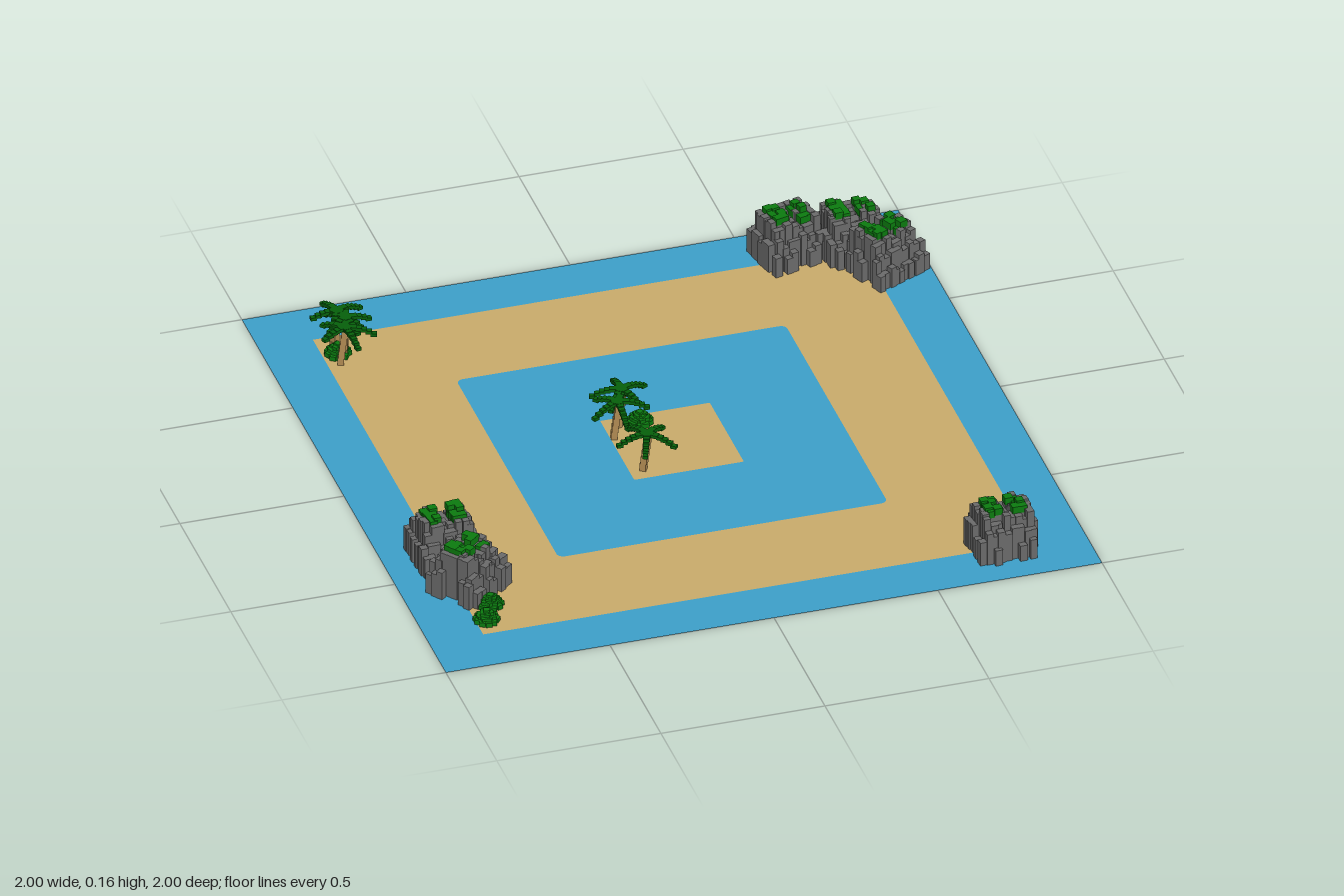
import * as THREE from 'three';
import { mergeGeometries } from 'three/addons/utils/BufferGeometryUtils.js';

const mat = (name, color, side = THREE.FrontSide) => {
  const m = new THREE.MeshStandardMaterial({ color, side });
  m.name = name;
  return m;
};
const water = mat('water', 0x3c9fc8, THREE.DoubleSide);
const sand = mat('sand', 0xc8aa6a, THREE.DoubleSide);
const stone = mat('stone', 0x6a6a6a);
const moss = mat('moss', 0x0b7a0f);
const leaf = mat('palm leaf', 0x06600a);
const wood = mat('palm wood', 0xb08a52);

// small seeded random generator
function seeded(seed) {
  let s = seed * 7919 + 17;
  return () => (s = (s * 16807) % 2147483647) / 2147483647;
}

const block = (w, h, d, x, y, z) => new THREE.BoxGeometry(w, h, d).translate(x, y, z);

function addMesh(parent, name, geometry, material) {
  const m = new THREE.Mesh(geometry, material);
  m.name = name;
  parent.add(m);
  return m;
}

// square outline with optional rounded corners
function square(h, r, target) {
  target.moveTo(-h + r, -h);
  for (const [cx, cy, a] of [[1, -1, -0.5], [1, 1, 0], [-1, 1, 0.5], [-1, -1, 1]]) {
    target.absarc(cx * (h - r), cy * (h - r), r, a * Math.PI, (a + 0.5) * Math.PI, false);
  }
  target.closePath();
  return target;
}

// flat ground zone between two squares
function zone(parent, name, outer, inner, material) {
  const shape = square(outer[0], outer[1], new THREE.Shape());
  if (inner) shape.holes.push(square(inner[0], inner[1], new THREE.Path()));
  addMesh(parent, name, new THREE.ShapeGeometry(shape, 4).rotateX(-Math.PI / 2), material);
}

// craggy boulder of stepped stone columns with two mossy ridges
function makeRock(seed) {
  const rand = seeded(seed), rock = new THREE.Group(), stones = [], tufts = [];
  const n = 10, c = 0.019;
  for (let i = 0; i < n; i++) {
    for (let k = 0; k < n; k++) {
      const edge = (i === 0 || i === n - 1) + (k === 0 || k === n - 1);
      if (edge && rand() < edge * 0.22) continue;
      const x = (i - (n - 1) / 2) * c, z = (k - (n - 1) / 2) * c;
      const slopeX = 0.03 + 0.36 * (1 - Math.abs(x) / 0.1);
      const slopeZ = 0.03 + 0.19 * (1 - Math.abs(z) / 0.1);
      const ridge = x < -0.015 ? 0.152 : x < 0.015 ? 0.122 : 0.138;
      let h = Math.min(slopeX, slopeZ, ridge) + (rand() - 0.5) * 0.03;
      h = Math.min(0.15, Math.max(0.015, Math.round(h / 0.013) * 0.013));
      const jx = (rand() - 0.5) * 0.008, jz = (rand() - 0.5) * 0.008;
      const w = c + 0.004 * rand();
      stones.push(block(w, h, w, x + jx, h / 2, z + jz));
      const onRidge = (x > -0.055 && x < -0.02) || (x > 0.015 && x < 0.05);
      if (onRidge && Math.abs(z) < 0.045 && rand() < 0.85) {
        tufts.push(block(w + 0.003, 0.022, w + 0.003, x + jx, h - 0.001, z + jz));
      }
    }
  }
  addMesh(rock, 'rockStones', mergeGeometries(stones), stone);
  addMesh(rock, 'rockMoss', mergeGeometries(tufts), moss);
  return rock;
}

// leaning palm with five drooping blocky fronds
function makePalm(seed) {
  const rand = seeded(seed), palm = new THREE.Group(), trunk = [], fronds = [];
  for (let i = 0; i < 5; i++) {
    trunk.push(block(0.019, 0.024, 0.019, (i - 2) * 0.003, 0.012 + i * 0.023, 0));
  }
  fronds.push(block(0.026, 0.014, 0.026, 0.004, 0.124, 0));
  for (let f = 0; f < 5; f++) {
    const steps = 5 + (rand() < 0.5 ? 1 : 0);
    const turn = f * Math.PI * 0.4 + (rand() - 0.5) * 0.35;
    for (let s = 0; s < steps; s++) {
      const t = s / 5, y = 0.126 - 0.024 * t * t;
      const b = block(0.018, 0.01, 0.021 - 0.006 * t, 0.012 + s * 0.0145, y, 0);
      fronds.push(b.rotateY(-turn).translate(0.005, 0, 0));
    }
  }
  addMesh(palm, 'palmTrunk', mergeGeometries(trunk), wood);
  addMesh(palm, 'palmFronds', mergeGeometries(fronds), leaf);
  return palm;
}

// low domed bush of leafy blocks
function makeBush(seed) {
  const rand = seeded(seed), bush = new THREE.Group(), leaves = [];
  for (const [r, y, count] of [[0.029, 0.007, 10], [0.02, 0.017, 8], [0.011, 0.026, 5], [0, 0.035, 1]]) {
    for (let i = 0; i < count; i++) {
      const b = new THREE.BoxGeometry(0.018, 0.014, 0.018).rotateY(rand() * 0.8);
      const a = (i / count) * Math.PI * 2;
      leaves.push(b.translate(Math.cos(a) * r, y + rand() * 0.004, Math.sin(a) * r));
    }
  }
  leaves.push(block(0.036, 0.026, 0.036, 0, 0.013, 0));
  addMesh(bush, 'bushLeaves', mergeGeometries(leaves), moss);
  return bush;
}

export function createModel() {
  const model = new THREE.Group();
  model.name = 'islandMap';

  // flat ground: sea, beach ring, lagoon, islet
  zone(model, 'sea', [1, 0], [0.835, 0], water);
  zone(model, 'beachRing', [0.835, 0], [0.502, 0.02], sand);
  zone(model, 'lagoon', [0.502, 0.02], [0.167, 0.005], water);
  zone(model, 'islet', [0.167, 0.005], null, sand);

  // scenery as [x, z, turn]
  const scatter = (name, make, spots) => spots.forEach(([x, z, turn], i) => {
    const item = make(i + 1);
    item.name = name + (i + 1);
    item.position.set(x, 0, z);
    item.rotation.y = turn;
    model.add(item);
  });
  scatter('rock', makeRock, [
    [-0.82, 0.395, 0.06], [-0.805, 0.575, 0.65], [0.75, 0.83, 0.06],
    [0.62, -0.87, 0.25], [0.805, -0.84, 0.1], [0.865, -0.715, 0.43],
  ]);
  scatter('palm', makePalm, [
    [-0.12, 0.125, -0.55], [-0.15, -0.065, -0.2], [-0.12, -0.125, 0.3],
    [-0.785, -0.775, 0.5], [-0.79, -0.685, -0.3], [-0.77, -0.73, 1.1],
  ]);
  scatter('bush', makeBush, [
    [-0.06, -0.122, 0], [-0.77, 0.695, 0.4], [-0.805, 0.77, 0.9], [-0.79, -0.735, 0.2],
  ]);
  return model;
}
